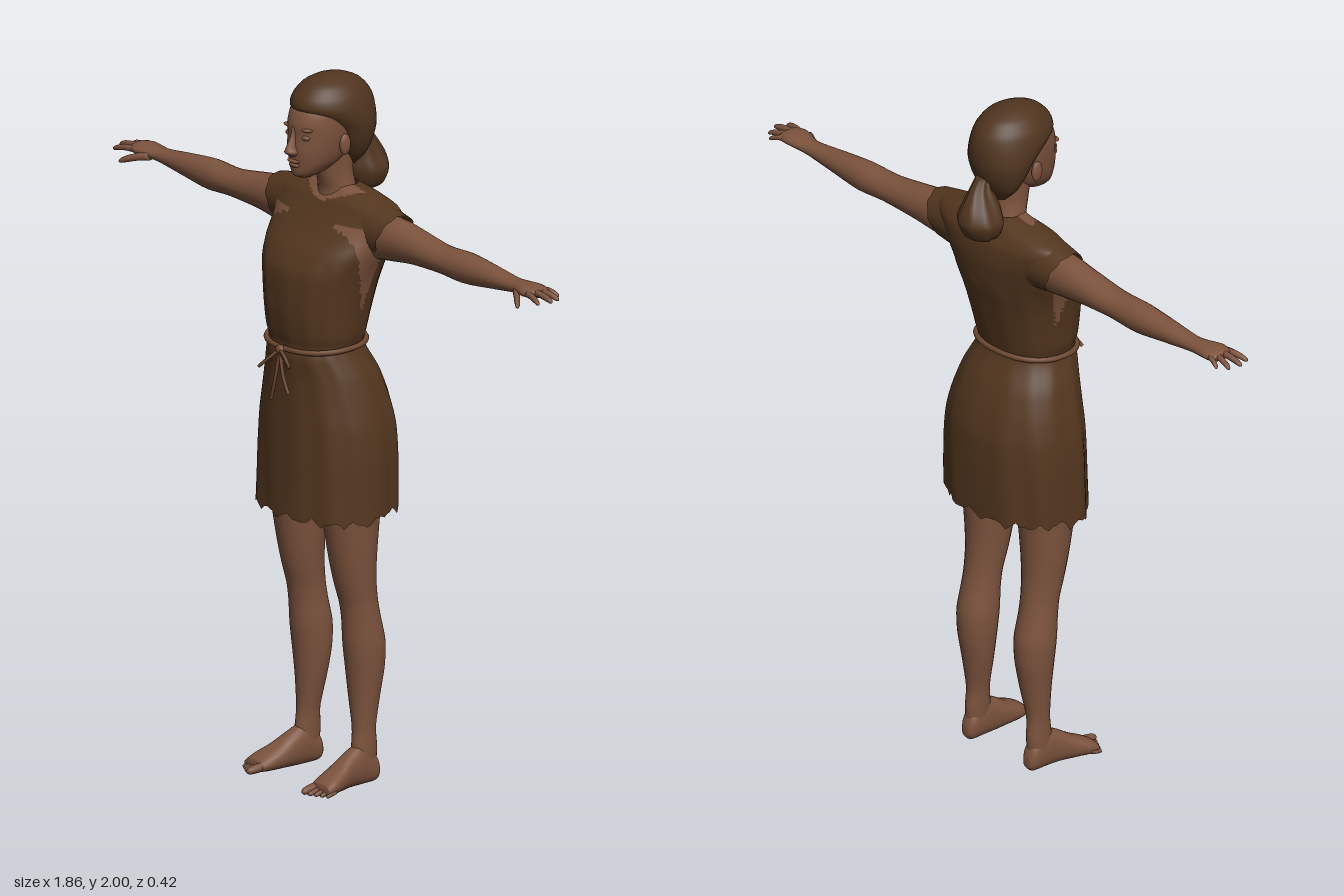
import * as THREE from 'three';

const mat = (name, color, side = THREE.FrontSide) => {
  const m = new THREE.MeshStandardMaterial({ color, side });
  m.name = name;
  return m;
};

// Smooth closed skin through rows [t, u0, u1, v0, v1]: position along the axis
// and the bounds of the cross-section. Axis y: u = z, v = x; x: u = y, v = z; z: u = x, v = y.
function loft(axis, rows, { segs = 24, sub = 4, power = 2, caps = true, warp } = {}) {
  const pos = [], index = [], n = rows.length;
  const put = (t, u, v) => (axis === 'y' ? new THREE.Vector3(v, t, u)
    : axis === 'x' ? new THREE.Vector3(t, u, v) : new THREE.Vector3(u, v, t));
  const at = (f) => {
    const i = Math.min(Math.floor(f), n - 2), s = f - i;
    const row = (k) => rows[Math.max(0, Math.min(n - 1, k))];
    return rows[0].map((_, c) => {
      const p = row(i - 1)[c], a = row(i)[c], b = row(i + 1)[c], q = row(i + 2)[c];
      const m0 = (b - p) * 0.4, m1 = (q - a) * 0.4;
      return a + m0 * s + (3 * (b - a) - 2 * m0 - m1) * s * s + (2 * (a - b) + m0 + m1) * s * s * s;
    });
  };
  const round = (k) => Math.sign(k) * Math.abs(k) ** (2 / power);
  const count = (n - 1) * sub + 1;
  for (let r = 0; r < count; r++) {
    const [t, u0, u1, v0, v1] = at(r / sub);
    for (let i = 0; i < segs; i++) {
      const a = (i / segs) * Math.PI * 2;
      const p = put(t, (u0 + u1) / 2 + round(Math.cos(a)) * (u1 - u0) / 2,
        (v0 + v1) / 2 + round(Math.sin(a)) * (v1 - v0) / 2);
      if (warp) warp(p, a);
      pos.push(p.x, p.y, p.z);
      if (r < count - 1) {
        const j = (i + 1) % segs, b = r * segs, c = b + segs;
        index.push(b + i, b + j, c + i, b + j, c + j, c + i);
      }
    }
  }
  if (caps) {
    [rows[0], rows[n - 1]].forEach(([t, u0, u1, v0, v1], end) => {
      const c = pos.length / 3, b = end ? (count - 1) * segs : 0;
      pos.push(...put(t, (u0 + u1) / 2, (v0 + v1) / 2).toArray());
      for (let i = 0; i < segs; i++) {
        const j = (i + 1) % segs;
        index.push(c, b + (end ? i : j), b + (end ? j : i));
      }
    });
  }
  const g = new THREE.BufferGeometry();
  g.setAttribute('position', new THREE.Float32BufferAttribute(pos, 3));
  g.setIndex(index);
  g.computeVertexNormals();
  return g;
}

// Tapered finger or toe running from one point to another along an axis
function digit(axis, [t0, u0, v0], [t1, u1, v1], r, bend = 0) {
  const rows = [[0, 1], [0.35, 0.92], [0.7, 0.85], [0.92, 0.65], [1, 0.25]].map(([s, k]) => {
    const u = u0 + (u1 - u0) * s + bend * Math.sin(s * Math.PI), v = v0 + (v1 - v0) * s, q = r * k;
    return [t0 + (t1 - t0) * s, u - q, u + q, v - q, v + q];
  });
  return loft(axis, rows, { segs: 10, sub: 2 });
}

function mirrored(geo) {
  const g = geo.clone().scale(-1, 1, 1), a = g.index.array;
  for (let i = 0; i < a.length; i += 3) [a[i], a[i + 1]] = [a[i + 1], a[i]];
  g.computeVertexNormals();
  return g;
}

// Sort triangles into two material groups by their centre
function split(g, test) {
  const lists = [[], []], p = g.attributes.position, a = g.index.array;
  const mid = (i, f) => (p[f](a[i]) + p[f](a[i + 1]) + p[f](a[i + 2])) / 3;
  for (let i = 0; i < a.length; i += 3) {
    lists[test(mid(i, 'getX'), mid(i, 'getY'), mid(i, 'getZ')) ? 1 : 0].push(a[i], a[i + 1], a[i + 2]);
  }
  g.setIndex([...lists[0], ...lists[1]]);
  g.addGroup(0, lists[0].length, 0);
  g.addGroup(lists[0].length, lists[1].length, 1);
  return g;
}

export function createModel() {
  const model = new THREE.Group();
  model.name = 'woman';
  const skin = mat('skin', 0x7c533d), hair = mat('hair', 0x50351f), rope = mat('rope', 0x6d4930);
  const cloth = mat('cloth', 0x54371f, THREE.DoubleSide);
  const add = (name, geo, material) => {
    const m = new THREE.Mesh(geo, material);
    m.name = name;
    model.add(m);
    return m;
  };
  const pair = (name, geo, material) => {
    add('left' + name, geo, material);
    add('right' + name, mirrored(geo), material);
  };
  const sym = (rows) => rows.map(([y, z0, z1, x]) => [y, z0, z1, -x, x]);
  const ball = (x, y, z, rx, ry, rz) => new THREE.SphereGeometry(1, 16, 12).scale(rx, ry, rz).translate(x, y, z);

  // Tunic: folds and a ragged hem below the belt, skin at the neckline and side slits
  const tunic = loft('y', sym([
    [0.77, -0.15, 0.165, 0.215], [0.85, -0.152, 0.162, 0.214], [0.95, -0.153, 0.16, 0.212],
    [1.03, -0.15, 0.158, 0.205], [1.1, -0.135, 0.155, 0.19], [1.17, -0.11, 0.155, 0.17],
    [1.225, -0.08, 0.16, 0.147], [1.255, -0.068, 0.155, 0.138], [1.29, -0.075, 0.162, 0.147],
    [1.35, -0.09, 0.168, 0.155], [1.42, -0.108, 0.168, 0.167], [1.47, -0.122, 0.162, 0.18],
    [1.52, -0.13, 0.135, 0.198], [1.57, -0.135, 0.09, 0.215], [1.62, -0.13, 0.05, 0.235],
    [1.648, -0.115, 0.03, 0.225], [1.668, -0.1, 0.01, 0.15], [1.685, -0.08, 0, 0.055],
  ]), {
    segs: 80, sub: 5, power: 2.3, caps: false,
    warp: (p, a) => {
      const low = THREE.MathUtils.clamp((1.22 - p.y) / 0.45, 0, 1);
      const hem = THREE.MathUtils.clamp((0.87 - p.y) / 0.1, 0, 1);
      const fold = 1 + 0.02 * low * Math.sin(9 * a + 1) + 0.008 * Math.sin(13 * a + p.y * 5) * (p.y < 1.5 ? 1 : 0);
      p.x *= fold;
      p.z *= fold;
      p.y += hem * (0.008 * Math.sin(17 * a) + 0.005 * Math.sin(29 * a) + (p.z < 0 ? 0.015 : 0));
    },
  });
  add('tunic', split(tunic, (x, y, z) => {
    const w = (y - 1.355) / 0.19;
    const slit = Math.abs(x) > 0.1 && w > 0 && y < 1.6 && Math.abs(z - 0.01) < 0.045 * w;
    return slit || (z > -0.04 && y > 1.64 + 0.35 * Math.abs(x));
  }), [cloth, skin]);
  pair('Sleeve', loft('x', [
    [0.12, 1.5, 1.667, -0.11, 0.045], [0.19, 1.505, 1.66, -0.108, 0.035], [0.265, 1.515, 1.646, -0.1, 0.025],
  ], { segs: 32, caps: false, warp: (p, a) => { p.x -= (1.646 - p.y) * 0.42 + 0.003 * Math.sin(9 * a); } }), cloth);

  // Rope belt with a knot, loops and hanging ends
  const belt = [];
  for (let i = 0; i < 48; i++) {
    const a = (i / 48) * Math.PI * 2, k = (c) => Math.sign(c) * Math.abs(c) ** (2 / 2.3);
    belt.push(new THREE.Vector3(k(Math.sin(a)) * 0.144, 1.255 - 0.008 * Math.cos(a), 0.044 + k(Math.cos(a)) * 0.119));
  }
  const cord = (points, closed, r) => new THREE.TubeGeometry(
    new THREE.CatmullRomCurve3(points, closed), closed ? 96 : 20, r, 8, closed);
  add('belt', cord(belt, true, 0.008), rope);
  add('beltKnot', ball(0, 1.243, 0.17, 0.016, 0.014, 0.013), rope);
  [[[0, 1.243, 0.172], [-0.025, 1.215, 0.195], [-0.05, 1.19, 0.205]],
    [[0, 1.243, 0.172], [-0.01, 1.17, 0.178], [-0.035, 1.095, 0.174]],
    [[0, 1.243, 0.172], [0.02, 1.17, 0.176], [0.04, 1.125, 0.174]],
    [[0, 1.243, 0.172], [0.035, 1.235, 0.185], [0.05, 1.205, 0.18], [0.01, 1.235, 0.175]],
  ].forEach((pts) => add('beltEnd', cord(pts.map((p) => new THREE.Vector3(...p)), false, 0.005), rope));

  // Arms and hands
  pair('Arm', loft('x', [
    [0.13, 1.5, 1.64, -0.09, 0.03], [0.25, 1.515, 1.638, -0.09, 0.018], [0.33, 1.525, 1.626, -0.088, 0.012],
    [0.45, 1.53, 1.608, -0.083, 0.007], [0.55, 1.524, 1.611, -0.083, 0.003], [0.65, 1.535, 1.602, -0.075, -0.005],
    [0.75, 1.548, 1.59, -0.068, -0.012], [0.785, 1.552, 1.59, -0.07, -0.008], [0.83, 1.556, 1.592, -0.077, 0.006],
    [0.86, 1.558, 1.588, -0.074, 0.002], [0.87, 1.564, 1.582, -0.068, -0.006],
  ]), skin);
  [[[0.85, 1.574, -0.066], [0.893, 1.562, -0.08], 0.0085], [[0.855, 1.575, -0.047], [0.92, 1.562, -0.058], 0.0095],
    [[0.855, 1.575, -0.026], [0.932, 1.565, -0.025], 0.01], [[0.85, 1.573, -0.006], [0.918, 1.562, 0.01], 0.0095],
    [[0.79, 1.565, -0.015], [0.86, 1.545, 0.036], 0.012],
  ].forEach(([a, b, r]) => pair('Finger', digit('x', a, b, r, 0.004), skin));

  // Legs, feet and toes
  pair('Leg', loft('y', [
    [0.04, -0.06, 0.02, 0.097, 0.148], [0.1, -0.064, 0.016, 0.094, 0.15], [0.16, -0.06, 0.01, 0.09, 0.15],
    [0.25, -0.075, 0.015, 0.072, 0.158], [0.33, -0.088, 0.022, 0.06, 0.168], [0.4, -0.09, 0.03, 0.056, 0.172],
    [0.47, -0.075, 0.035, 0.06, 0.168], [0.52, -0.066, 0.043, 0.06, 0.166], [0.58, -0.06, 0.06, 0.054, 0.17],
    [0.65, -0.06, 0.075, 0.046, 0.177], [0.76, -0.07, 0.095, 0.036, 0.185], [0.9, -0.09, 0.12, 0.012, 0.193],
    [1, -0.1, 0.12, 0, 0.185],
  ]), skin);
  pair('Foot', loft('z', [
    [-0.07, 0.11, 0.135, 0.015, 0.045], [-0.055, 0.098, 0.147, 0.002, 0.08], [-0.01, 0.094, 0.152, 0, 0.115],
    [0.035, 0.092, 0.158, 0, 0.098], [0.08, 0.092, 0.172, 0, 0.07], [0.12, 0.096, 0.183, 0, 0.05],
    [0.148, 0.104, 0.182, 0.002, 0.034],
  ], { power: 2.3 }), skin);
  for (let i = 0; i < 5; i++) {
    const x = 0.115 + i * 0.0155, r = i ? 0.0095 - i * 0.0005 : 0.014;
    pair('Toe', digit('z', [0.12, x, r + 0.008], [0.19 - i * 0.009, x + 0.004, r], r), skin);
  }

  // Neck, head and face
  add('neck', loft('y', sym([[1.62, -0.09, 0.03, 0.065], [1.67, -0.08, 0.022, 0.056],
    [1.72, -0.072, 0.035, 0.049], [1.79, -0.075, 0.05, 0.05]])), skin);
  add('head', loft('y', sym([
    [1.722, 0.06, 0.105, 0.018], [1.735, 0.02, 0.122, 0.036], [1.765, -0.03, 0.125, 0.058],
    [1.8, -0.06, 0.128, 0.07], [1.84, -0.08, 0.125, 0.078], [1.875, -0.1, 0.125, 0.081],
    [1.91, -0.1, 0.113, 0.08], [1.95, -0.08, 0.08, 0.06], [1.97, -0.04, 0.04, 0.03],
  ]), { segs: 36, power: 2.15 }), skin);
  add('nose', loft('y', sym([[1.786, 0.1, 0.134, 0.012], [1.798, 0.1, 0.152, 0.019], [1.812, 0.1, 0.149, 0.013],
    [1.84, 0.1, 0.135, 0.009], [1.868, 0.1, 0.127, 0.008]])), skin);
  add('upperLip', ball(0, 1.771, 0.123, 0.024, 0.006, 0.011), skin);
  add('lowerLip', ball(0, 1.76, 0.121, 0.02, 0.007, 0.011), skin);
  add('chin', ball(0, 1.738, 0.107, 0.022, 0.014, 0.016), skin);
  for (const s of [-1, 1]) {
    add('eyelid', ball(s * 0.033, 1.842, 0.108, 0.016, 0.009, 0.012), skin);
    add('brow', ball(s * 0.034, 1.864, 0.108, 0.024, 0.006, 0.013), skin);
    add('ear', ball(s * 0.08, 1.815, 0.008, 0.01, 0.03, 0.018), skin);
  }

  // Hair swept back into a low ponytail
  add('hair', loft('y', sym([
    [1.735, -0.08, -0.045, 0.03], [1.77, -0.105, -0.02, 0.066], [1.81, -0.125, 0.008, 0.086],
    [1.85, -0.136, 0.035, 0.097], [1.885, -0.138, 0.078, 0.1], [1.915, -0.135, 0.113, 0.098],
    [1.945, -0.123, 0.108, 0.089], [1.975, -0.095, 0.08, 0.067], [1.993, -0.055, 0.042, 0.036],
    [2, -0.02, 0.015, 0.01],
  ]), { segs: 40 }), hair);
  add('ponytail', loft('y', [
    [1.64, -0.16, -0.125, -0.04, 0], [1.658, -0.19, -0.1, -0.072, 0.03], [1.7, -0.21, -0.085, -0.087, 0.045],
    [1.74, -0.198, -0.088, -0.066, 0.032], [1.785, -0.165, -0.1, -0.032, 0.02], [1.815, -0.14, -0.1, -0.02, 0.016],
  ], { segs: 36, warp: (p, a) => { p.x += 0.003 * Math.sin(7 * a); } }), hair);
  return model;
}
